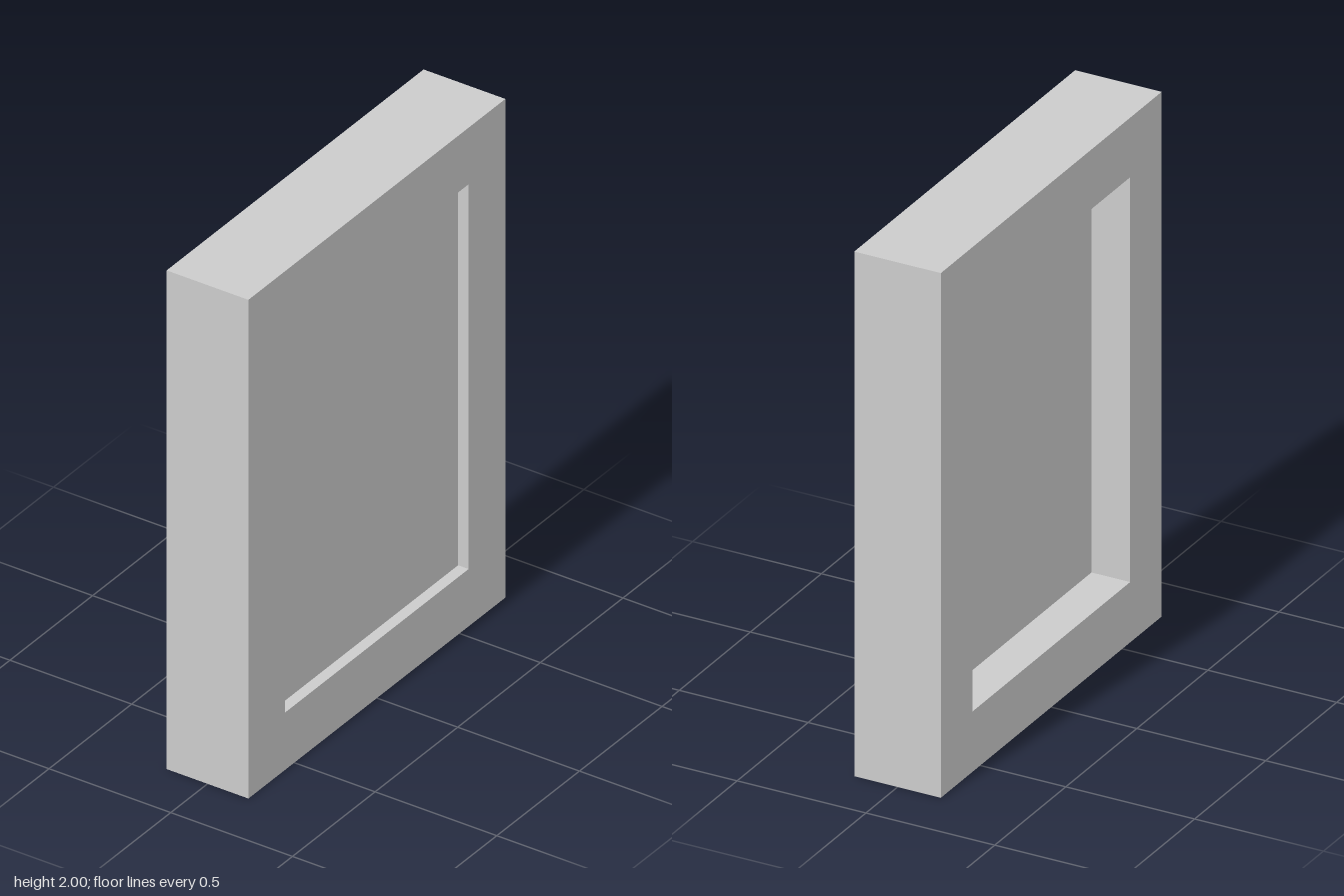
import * as THREE from 'three';

const HALF_DEPTH = 0.168;            // frame thickness along x
const WIDTH = 1.555, HEIGHT = 2;     // outer size along z and y
const OPEN_W = 1.11, OPEN_BOTTOM = 0.23, OPEN_TOP = 1.773;
const RIGHT_RECESS = 0.043, LEFT_RECESS = 0.15; // recess depths on the +x and -x faces

// Adds a closed rectangle to a Shape or Path
function rectangle(path, width, bottom, top) {
  const h = width / 2;
  path.moveTo(-h, bottom);
  path.lineTo(h, bottom);
  path.lineTo(h, top);
  path.lineTo(-h, top);
  path.closePath();
  return path;
}

export function createModel() {
  const group = new THREE.Group();
  group.name = 'framedPanel';
  const material = new THREE.MeshStandardMaterial({ color: 0xcccccc, flatShading: true });

  // Frame: a rectangular ring in the y-z plane, extruded along x
  const outline = rectangle(new THREE.Shape(), WIDTH, 0, HEIGHT);
  outline.holes.push(rectangle(new THREE.Path(), OPEN_W, OPEN_BOTTOM, OPEN_TOP));
  const frameGeometry = new THREE.ExtrudeGeometry(outline, { depth: 2 * HALF_DEPTH, bevelEnabled: false });
  frameGeometry.translate(0, 0, -HALF_DEPTH).rotateY(Math.PI / 2);
  const frame = new THREE.Mesh(frameGeometry, material);
  frame.name = 'frame';
  group.add(frame);

  // Panel: fills the opening, set deeper on the left face than on the right
  const x0 = -HALF_DEPTH + LEFT_RECESS, x1 = HALF_DEPTH - RIGHT_RECESS;
  const panel = new THREE.Mesh(new THREE.BoxGeometry(x1 - x0, OPEN_TOP - OPEN_BOTTOM, OPEN_W), material);
  panel.position.set((x0 + x1) / 2, (OPEN_BOTTOM + OPEN_TOP) / 2, 0);
  panel.name = 'panel';
  group.add(panel);

  return group;
}
